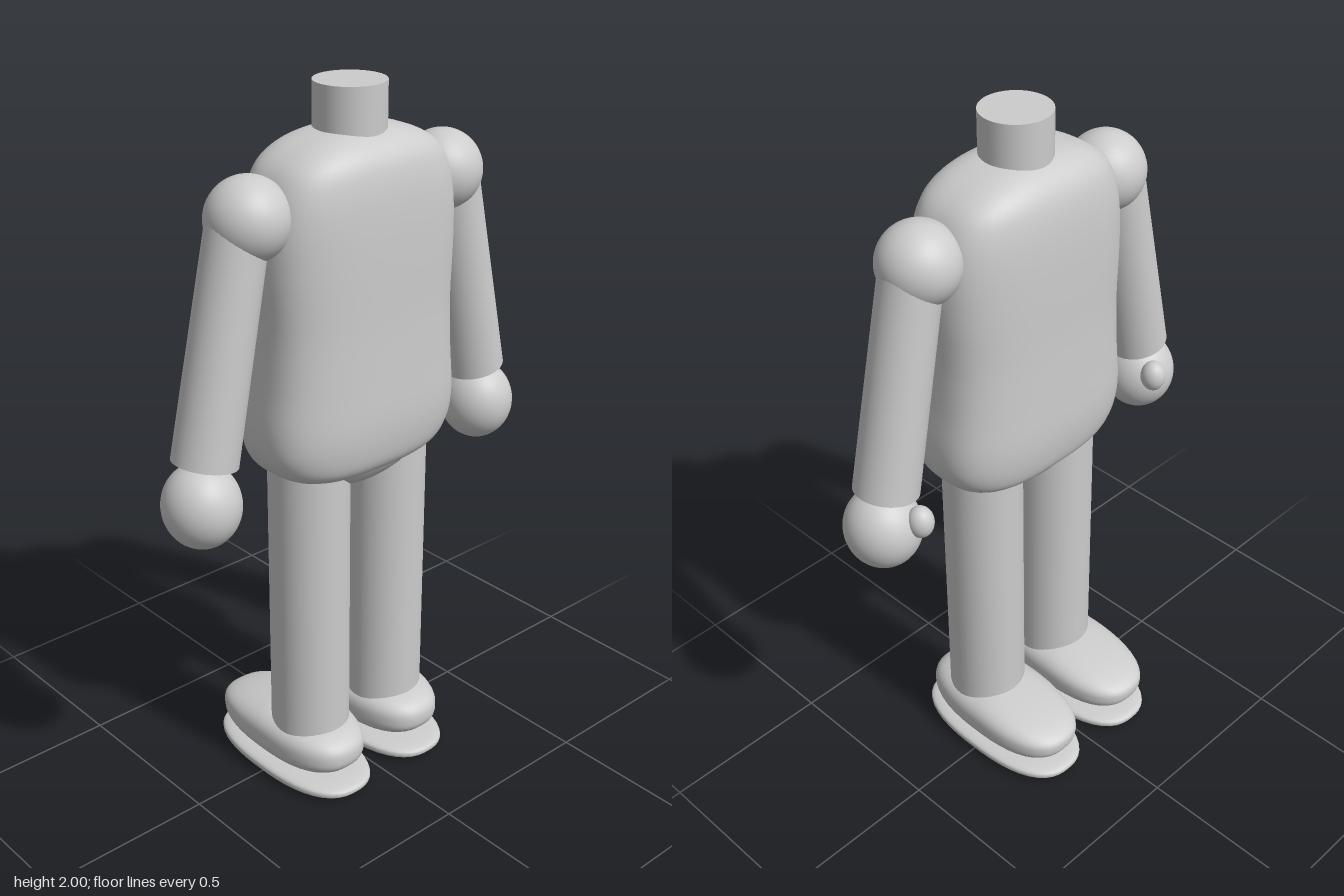
import * as THREE from 'three';
import { mergeVertices } from 'three/addons/utils/BufferGeometryUtils.js';

const BODY_Z = 0.07; // the body axis sits a little off the feet's centre

// Weld seams and recompute smooth normals
function smooth(geo) {
  geo.deleteAttribute('uv');
  geo.deleteAttribute('normal');
  const g = mergeVertices(geo, 1e-4);
  g.computeVertexNormals();
  return g;
}

// Rounded blob: exponent a shapes the plan outline, b the vertical rounding
function blob(rx, ry, rz, a, b) {
  const geo = new THREE.SphereGeometry(1, 48, 32);
  const p = geo.attributes.position;
  for (let i = 0; i < p.count; i++) {
    const x = p.getX(i), y = p.getY(i), z = p.getZ(i);
    const plan = Math.pow(Math.abs(x) ** a + Math.abs(z) ** a, 1 / a);
    const k = Math.pow(plan ** b + Math.abs(y) ** b, -1 / b);
    p.setXYZ(i, x * k * rx, y * k * ry, z * k * rz);
  }
  return geo;
}

// Torso: superelliptical rings following a half-width / height / half-depth curve
function torsoGeometry() {
  const curve = new THREE.CatmullRomCurve3([
    [0, 0.965, 0], [0.12, 0.967, 0.075], [0.21, 0.978, 0.125], [0.275, 1.01, 0.155],
    [0.305, 1.06, 0.168], [0.313, 1.13, 0.175], [0.303, 1.26, 0.173], [0.297, 1.4, 0.17],
    [0.302, 1.56, 0.17], [0.298, 1.68, 0.168], [0.28, 1.76, 0.162], [0.25, 1.815, 0.15],
    [0.2, 1.852, 0.127], [0.13, 1.877, 0.09], [0.06, 1.888, 0.045], [0, 1.89, 0],
  ].map((v) => new THREE.Vector3(...v)), false, 'centripetal');
  const rings = curve.getPoints(60);
  rings[0].x = rings[60].x = 0;
  const geo = new THREE.LatheGeometry(rings.map((r) => new THREE.Vector2(r.x, r.y)), 64);
  const p = geo.attributes.position;
  const n = 2.9;
  for (let i = 0; i < p.count; i++) {
    const r = rings[i % rings.length];
    const x = p.getX(i), z = p.getZ(i), len = Math.hypot(x, z);
    if (len < 1e-6) continue;
    const c = x / len, s = z / len;
    const k = Math.pow(Math.abs(c) ** n + Math.abs(s) ** n, -1 / n);
    p.setXYZ(i, c * k * r.x, r.y, s * k * r.z);
  }
  return smooth(geo);
}

// Shoe: rounded block whose top slopes down toward the toe at -z
function shoeGeometry() {
  const geo = blob(0.132, 0.075, 0.253, 2.5, 2.8);
  const p = geo.attributes.position;
  for (let i = 0; i < p.count; i++) {
    const t = THREE.MathUtils.clamp((-p.getZ(i) - 0.02) / 0.23, 0, 1);
    if (p.getY(i) > 0) p.setY(i, p.getY(i) * (1 - 0.35 * t));
  }
  return smooth(geo);
}

export function createModel() {
  const model = new THREE.Group();
  model.name = 'headlessFigure';
  const grey = new THREE.MeshStandardMaterial({ color: 0xcccccc });
  grey.name = 'plain grey';

  function add(name, geo, x, y, z) {
    const mesh = new THREE.Mesh(geo, grey);
    mesh.name = name;
    mesh.position.set(x, y, z);
    model.add(mesh);
    return mesh;
  }
  const ball = (rx, ry, rz) => new THREE.SphereGeometry(1, 40, 28).scale(rx, ry, rz);

  // Trunk
  add('torso', torsoGeometry(), 0, 0, BODY_Z);
  add('hips', ball(0.28, 0.175, 0.16), 0, 1.08, BODY_Z);
  add('neck', new THREE.CylinderGeometry(0.095, 0.095, 0.2, 40), 0, 1.9, BODY_Z);

  // Limbs, mirrored left and right
  const up = new THREE.Vector3(0, 1, 0);
  for (const [side, s] of [['left', 1], ['right', -1]]) {
    add(side + 'Shoulder', ball(0.11, 0.11, 0.11), s * 0.33, 1.71, BODY_Z);

    // Arm from shoulder to wrist
    const top = new THREE.Vector3(s * 0.357, 1.71, BODY_Z - 0.003);
    const wrist = new THREE.Vector3(s * 0.484, 1.105, BODY_Z - 0.003);
    const dir = top.clone().sub(wrist);
    const arm = add(side + 'Arm', new THREE.CylinderGeometry(0.081, 0.088, dir.length(), 40), 0, 0, 0);
    arm.position.copy(top).add(wrist).multiplyScalar(0.5);
    arm.quaternion.setFromUnitVectors(up, dir.normalize());

    add(side + 'Hand', ball(0.104, 0.115, 0.107), s * 0.501, 0.992, BODY_Z);
    add(side + 'Thumb', ball(0.036, 0.046, 0.037), s * 0.455, 1.035, -0.027);

    add(side + 'Leg', new THREE.CylinderGeometry(0.112, 0.112, 0.93, 40), s * 0.142, 0.585, BODY_Z);
    add(side + 'Shoe', shoeGeometry(), s * 0.145, 0.125, -0.006);
    add(side + 'Sole', smooth(blob(0.138, 0.024, 0.272, 2.5, 3.2)), s * 0.143, 0.026, 0);
  }
  return model;
}
